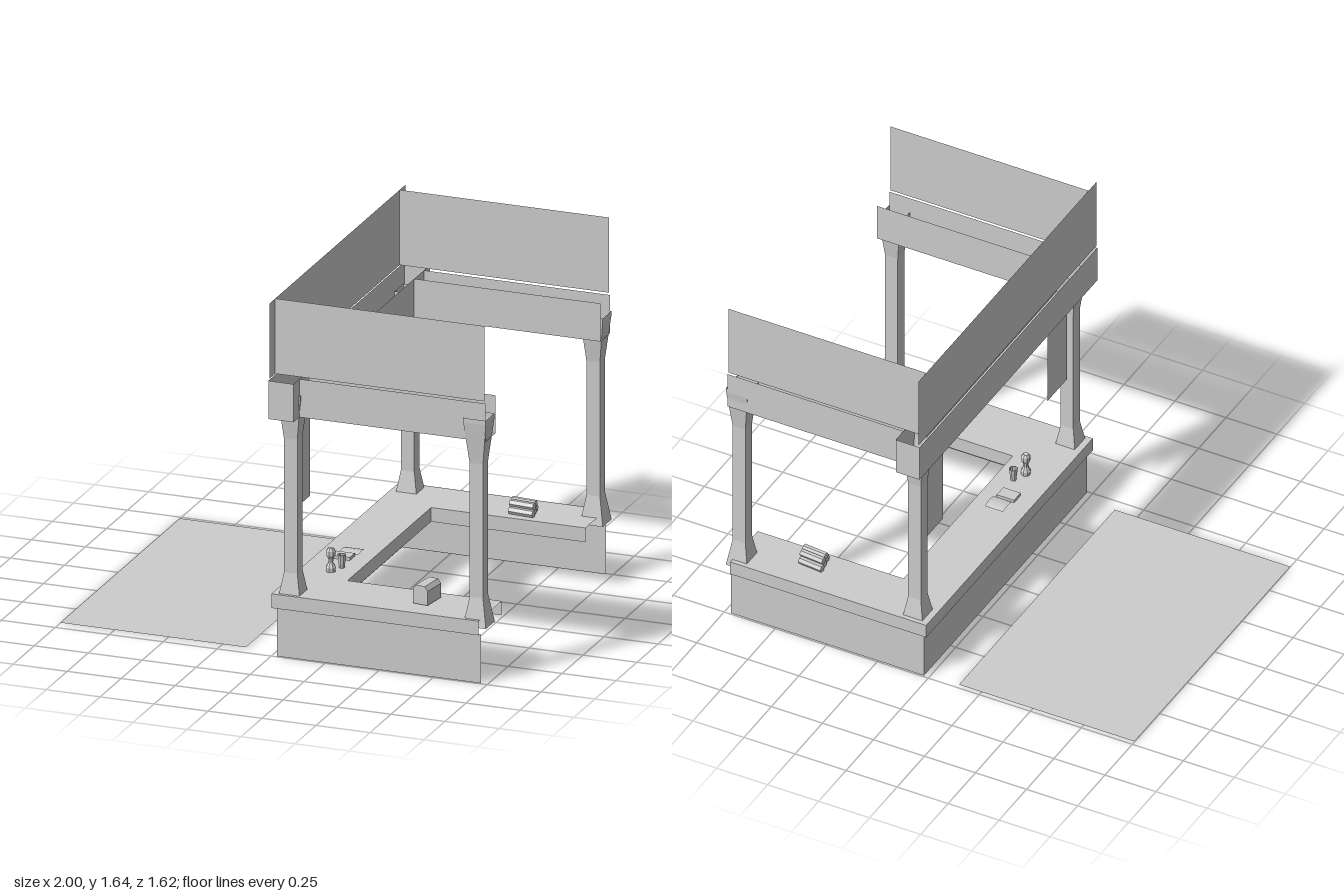
import * as THREE from 'three';

const stone = new THREE.MeshStandardMaterial({ color: 0xcccccc, side: THREE.DoubleSide });
stone.name = 'pale grey';

// Faceted mesh
function add(parent, name, geometry, x = 0, y = 0, z = 0) {
  const g = geometry.index ? geometry.toNonIndexed() : geometry;
  g.computeVertexNormals();
  const mesh = new THREE.Mesh(g, stone);
  mesh.name = name;
  mesh.position.set(x, y, z);
  parent.add(mesh);
  return mesh;
}

// Upright sheet following a floor path of [x, z] points
function wall(path, y0, y1) {
  const pos = [];
  for (let i = 0; i < path.length - 1; i++) {
    const [ax, az] = path[i], [bx, bz] = path[i + 1];
    pos.push(ax, y0, az, bx, y0, bz, bx, y1, bz, ax, y0, az, bx, y1, bz, ax, y1, az);
  }
  return new THREE.BufferGeometry().setAttribute('position', new THREE.Float32BufferAttribute(pos, 3));
}

// Level sheet with an outline of [x, z] points
function slab(path, y) {
  const shape = new THREE.Shape(path.map(([x, z]) => new THREE.Vector2(x, -z)));
  return new THREE.ShapeGeometry(shape).rotateX(-Math.PI / 2).translate(0, y, 0);
}

const rect = (x0, x1, z0, z1) => [[x0, z0], [x0, z1], [x1, z1], [x1, z0]];
const lathe = (pts, sides, start = 0) =>
  new THREE.LatheGeometry(pts.map(([r, y]) => new THREE.Vector2(r, y)), sides, start);

export function createModel() {
  const model = new THREE.Group();
  model.name = 'marketStall';

  // Floor mat beside the stall
  add(model, 'floorMat', slab(rect(-1, -0.14, -0.73, 0.69), 0.002));

  // U-shaped counter, open towards +x
  const counter = new THREE.Group();
  counter.name = 'counter';
  model.add(counter);
  const outer = [[0.965, 0.76], [0.005, 0.76], [0.005, -0.76], [0.965, -0.76]];
  const inner = [[0.965, -0.51], [0.25, -0.51], [0.25, 0.485], [0.965, 0.485]];
  add(counter, 'counterTop', slab([...outer, ...inner], 0.29));
  add(counter, 'outerLip', wall(outer, 0.225, 0.29));
  add(counter, 'innerLip', wall(inner, 0.225, 0.29));
  add(counter, 'basePanels', wall([[0.97, 0.743], [0.025, 0.743], [0.025, -0.743], [0.97, -0.743]], 0, 0.225));

  // Square posts, flared at both ends
  const q = Math.SQRT2;
  const postProfile = [[0.053 * q, 0.255], [0.031 * q, 0.385], [0.031 * q, 1.0], [0.052 * q, 1.19], [0.052 * q, 1.21]];
  for (const x of [0.082, 0.942])
    for (const z of [0.698, -0.692]) add(model, 'post', lathe(postProfile, 4, Math.PI / 4), x, 0, z);

  // Trough-shaped beams, open on top
  const back = rect(0.01, 0.127, -0.81, 0.81);
  add(model, 'backBeamSides', wall([...back, back[0]], 1.11, 1.285));
  add(model, 'backBeamBottom', slab(back, 1.11));
  for (const s of [1, -1]) {
    add(model, 'sideBeamOuter', wall([[0.127, 0.74 * s], [0.99, 0.74 * s]], 1.11, 1.285));
    add(model, 'sideBeamInner', wall([[0.127, 0.625 * s], [0.99, 0.625 * s]], 1.11, 1.285));
    add(model, 'sideBeamBottom', slab(rect(0.127, 0.99, 0.625 * s, 0.74 * s), 1.11));

    // Fascia boards and hanging cloths
    add(model, 'sideFascia', wall([[0.015, 0.74 * s], [0.985, 0.74 * s]], 1.295, 1.64));
    add(model, 'hangingCloth', wall([[0.075, 0.478 * s], [0.075, 0.65 * s]], 0.655, 1.11));
  }
  add(model, 'backFascia', wall([[0.015, -0.81], [0.015, 0.81]], 1.295, 1.64));

  // Stack of rolls: three below, two on top
  const rolls = new THREE.Group();
  rolls.name = 'rollStack';
  rolls.position.set(0.645, 0.29, -0.592);
  rolls.rotation.y = -0.1;
  model.add(rolls);
  for (const [z, y] of [[-0.036, 0.017], [0, 0.017], [0.036, 0.017], [-0.018, 0.044], [0.018, 0.044]])
    add(rolls, 'roll', new THREE.CylinderGeometry(0.017, 0.017, 0.115, 6).rotateZ(Math.PI / 2), z * 0.3, y, z);

  // Chest with a chamfered lid
  const end = new THREE.Shape([[-0.036, 0], [0.036, 0], [0.036, 0.065], [0.022, 0.085], [-0.022, 0.085], [-0.036, 0.065]]
    .map(([x, y]) => new THREE.Vector2(x, y)));
  const chest = add(model, 'chest',
    new THREE.ExtrudeGeometry(end, { depth: 0.12, bevelEnabled: false }).translate(0, 0, -0.06), 0.665, 0.295, 0.605);
  chest.rotation.y = -0.13;

  // Grinder, cup, book and loose sheet
  add(model, 'grinder', lathe([[0, 0], [0.021, 0], [0.023, 0.02], [0.011, 0.042], [0.012, 0.06],
    [0.021, 0.075], [0.021, 0.095], [0.012, 0.108], [0, 0.108]], 8), 0.14, 0.29, 0.4);
  add(model, 'cup', lathe([[0, 0], [0.013, 0], [0.02, 0.06], [0.016, 0.06], [0.01, 0.01]], 8), 0.167, 0.29, 0.338);
  add(model, 'book', new THREE.BoxGeometry(0.085, 0.014, 0.06), 0.127, 0.299, 0.22);
  const sheet = new THREE.PlaneGeometry(0.09, 0.08, 1, 4).rotateX(-Math.PI / 2);
  const p = sheet.attributes.position;
  for (let i = 0; i < p.count; i++) p.setY(i, 0.008 * Math.cos(p.getZ(i) * 35));
  add(model, 'looseSheet', sheet, 0.138, 0.295, 0.145);

  return model;
}
